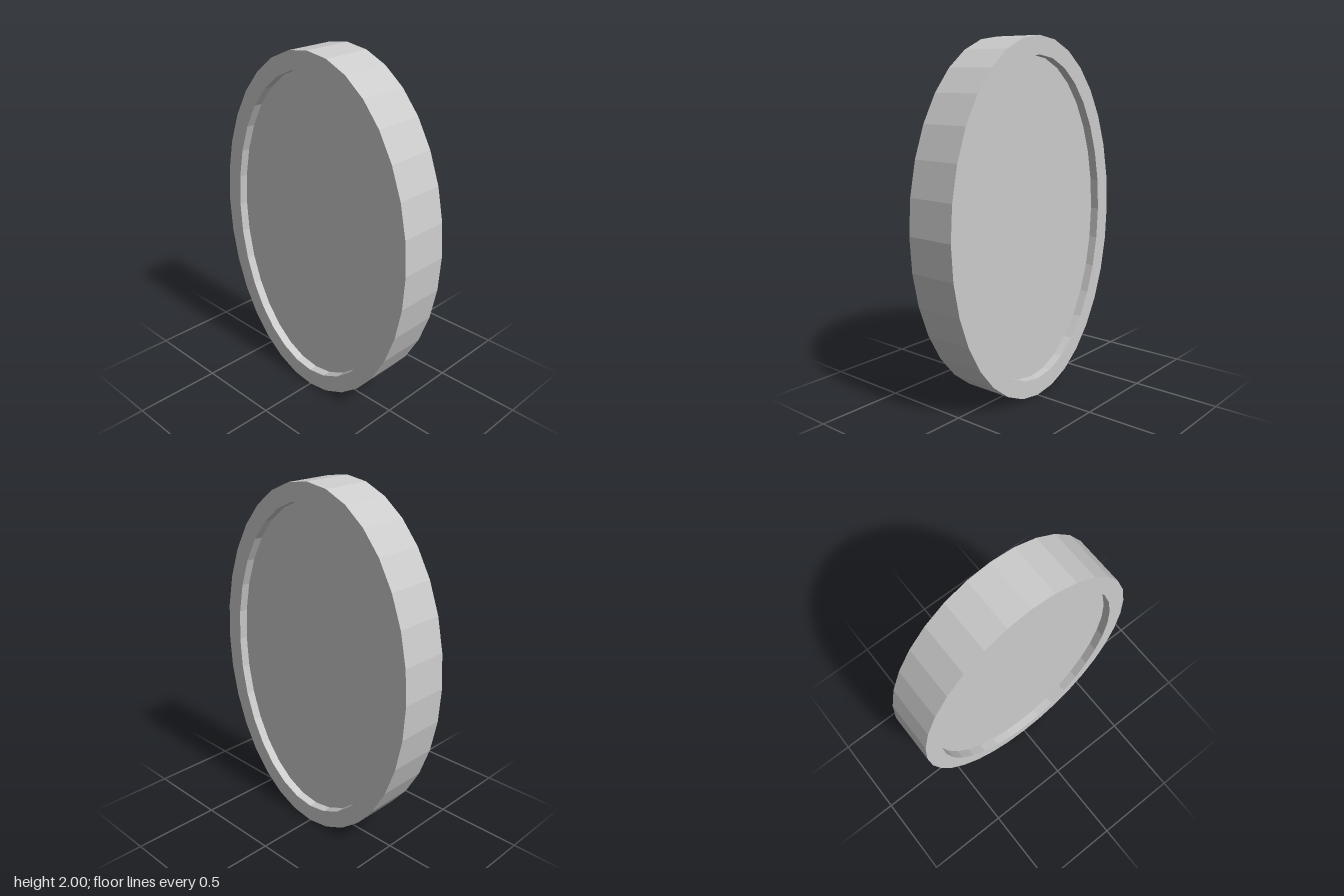
import * as THREE from 'three';

const SEGMENTS = 32;
const HALF_DEPTH = 0.145; // half thickness of the rim
const RECESS = 0.05; // how far each panel sits below the rim

// Faceted ellipse with a vertex at the top
function ellipse(rx, ry, Type) {
  const points = [];
  for (let i = 0; i < SEGMENTS; i++) {
    const a = (i / SEGMENTS) * Math.PI * 2;
    points.push(new THREE.Vector2(rx * Math.cos(a), ry * Math.sin(a)));
  }
  return new Type(points);
}

export function createModel() {
  const model = new THREE.Group();
  model.name = 'ovalDisc';
  const material = new THREE.MeshStandardMaterial({ color: 0xcccccc, flatShading: true });

  // Outer oval ring, open through the middle
  const ringShape = ellipse(0.683, 1, THREE.Shape);
  ringShape.holes.push(ellipse(0.585, 0.9, THREE.Path));
  const ring = new THREE.ExtrudeGeometry(ringShape, { depth: HALF_DEPTH * 2, bevelEnabled: false });
  ring.translate(0, 1, -HALF_DEPTH);
  const rim = new THREE.Mesh(ring, material);
  rim.name = 'rim';
  model.add(rim);

  // Recessed flat panels, front and back
  for (const side of [1, -1]) {
    const panel = new THREE.Mesh(new THREE.ShapeGeometry(ellipse(0.585, 0.9, THREE.Shape)), material);
    panel.name = side > 0 ? 'frontPanel' : 'backPanel';
    panel.position.set(0, 1, side * (HALF_DEPTH - RECESS));
    if (side < 0) panel.rotation.y = Math.PI;
    model.add(panel);
  }
  return model;
}
